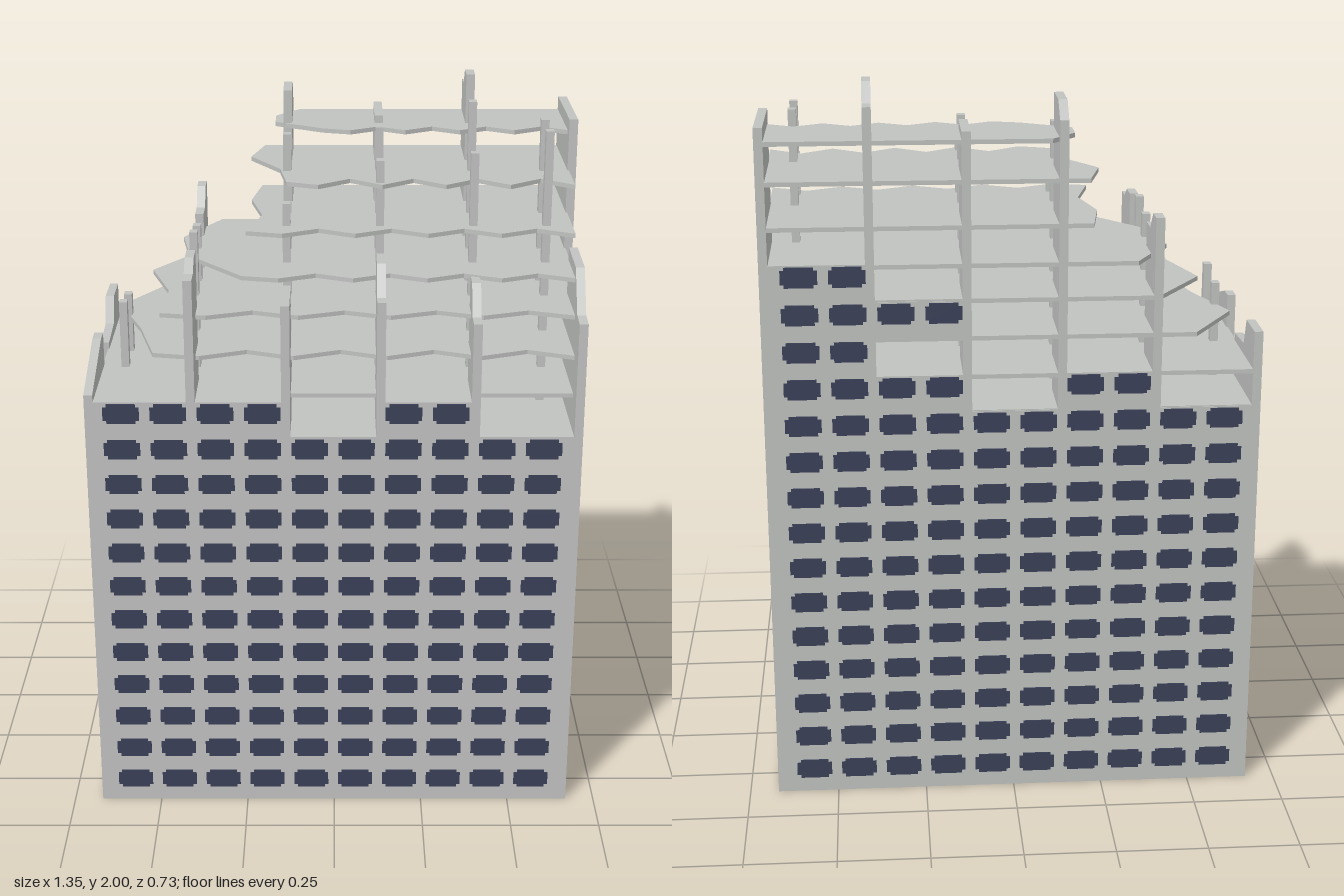
import * as THREE from 'three';
import { mergeGeometries } from 'three/addons/utils/BufferGeometryUtils.js';

const concrete = new THREE.MeshStandardMaterial({ color: 0xc0c2c0 });
concrete.name = 'concrete';
const glass = new THREE.MeshStandardMaterial({ color: 0x3a4058 });
glass.name = 'windowBlue';

const W = 0.67, D = 0.36, STOREY = 0.1025, WALL = 0.012, END = 0.024;
const BAYS = [-0.65, -0.385, -0.13, 0.125, 0.38, 0.65];
const BASE = 1.12;

const extrude = (pts, depth) => new THREE.ExtrudeGeometry(
  new THREE.Shape(pts.map(p => new THREE.Vector2(p[0], p[1]))), { depth, bevelEnabled: false });

function box(x0, x1, y0, y1, z0, z1) {
  return new THREE.BoxGeometry(x1 - x0, y1 - y0, z1 - z0)
    .translate((x0 + x1) / 2, (y0 + y1) / 2, (z0 + z1) / 2);
}

// Upright wall across x, outlined by [z, y] points
function crossWall(x, pts) {
  return extrude(pts, END).rotateY(-Math.PI / 2).translate(x + END / 2, 0, 0);
}

// Partition on side s: outer height, inner height, and the z where it breaks
function partition(x, s, [outer, inner, zBreak]) {
  return crossWall(x, [[s * 0.18, BASE], [s * D, BASE], [s * D, outer],
    [s * zBreak, outer], [s * (zBreak - 0.05), inner], [s * 0.18, inner]]);
}

// Window plate with notched corners, proud of both wall faces
function windowPlate(t) {
  const outline = [];
  for (const [sx, sy] of [[1, 1], [-1, 1], [-1, -1], [1, -1]]) {
    const corner = [[0.049 * sx, 0.019 * sy], [0.039 * sx, 0.019 * sy], [0.039 * sx, 0.028 * sy]];
    outline.push(...(sx * sy > 0 ? corner : corner.reverse()));
  }
  return extrude(outline, t).translate(0, 0, -t / 2);
}

// Slab with a ragged left edge (four x values, back to front) and a zigzag front edge
function brokenSlab(y, leftXs, zFront, ragged) {
  const back = -0.358, right = 0.65, steps = 9;
  const pts = [[right, back]];
  leftXs.forEach((x, i) => pts.push([x, back + (zFront - back) * i / 3]));
  const start = leftXs[3];
  for (let i = 1; i <= steps; i++)
    pts.push([start + (right - start) * i / steps, zFront + (i % 2 ? ragged : -ragged)]);
  return extrude(pts, 0.012).rotateX(Math.PI / 2).translate(0, y, 0);
}

export function createModel() {
  const group = new THREE.Group();
  const add = (name, geos, mat) => {
    const mesh = new THREE.Mesh(mergeGeometries(geos), mat);
    mesh.name = name;
    group.add(mesh);
  };

  // Long walls: eleven whole storeys, then the panels still standing in each bay
  const standing = {
    front: [[11], [11], [], [11], []],
    back: [[], [11], [], [11, 13], [11, 12, 13, 14]],
  };
  for (const side of ['front', 'back']) {
    const z = (side === 'front' ? 1 : -1) * (D - WALL / 2);
    const z0 = z - WALL / 2, z1 = z + WALL / 2;
    const walls = [box(-W + END / 2, W - END / 2, 0, 11 * STOREY, z0, z1)];
    const panes = [];
    standing[side].forEach((panels, bay) => {
      for (const r of panels)
        walls.push(box(BAYS[bay], BAYS[bay + 1], r * STOREY, (r + 1) * STOREY, z0, z1));
      for (const r of [...Array(11).keys(), ...panels])
        for (const i of [2 * bay, 2 * bay + 1])
          panes.push(windowPlate(WALL + 0.005)
            .translate(-0.003 + 0.1265 * (i - 4.5), 0.07 + r * STOREY, z));
    });
    add(side + 'Wall', walls, concrete);
    add(side + 'Windows', panes, glass);
  }

  // Broken end walls, each with a window strip down the middle
  const endX = W - END / 2;
  add('leftEndWall', [crossWall(endX, [[-D, 0], [D, 0], [D, 1.45], [0.3, 1.455],
    [0.225, 1.565], [0.055, 1.57], [0.055, 1.44], [-0.06, 1.44], [-0.06, 1.9], [-D, 1.9]])], concrete);
  add('rightEndWall', [crossWall(-endX, [[-D, 0], [D, 0], [D, 1.25], [0.11, 1.325],
    [0.06, 1.325], [0.06, 1.13], [-0.07, 1.13], [-0.07, 1.25], [-0.21, 1.26],
    [-0.24, 1.335], [-D, 1.335]])], concrete);
  for (const [name, x, rows] of [['leftEndWindows', endX, 14], ['rightEndWindows', -endX, 11]])
    add(name, [...Array(rows).keys()].map(r => windowPlate(END + 0.005)
      .rotateY(Math.PI / 2).translate(x, 0.07 + r * STOREY, 0.004)), glass);

  // Partitions between bays
  const frontParts = [[1.57, 1.6, 0.3], [1.5, 1.5, 0.3], [1.51, 1.59, 0.32], [1.45, 1.53, 0.3]];
  const backParts = [[1.65, 1.6, 0.3], [1.91, 1.955, 0.35], [1.885, 1.885, 0.3], [1.95, 2, 0.3]];
  add('frontPartitions', frontParts.map((p, i) => partition(BAYS[i + 1], 1, p)), concrete);
  add('backPartitions', backParts.map((p, i) => partition(BAYS[i + 1], -1, p)), concrete);

  // Two rows of columns: x, front top, back top
  const columns = [[-0.585, 1.42, 1.4], [-0.385, 1.62, 1.6], [-0.13, 1.7, 1.86],
    [0.125, 1.82, 1.88], [0.38, 1.84, 1.95], [0.58, 1.9, 1.9]];
  add('columns', columns.flatMap(([x, front, back]) => [[0.065, front], [-0.07, back]].map(
    ([z, top]) => box(x - 0.011, x + 0.011, BASE, top, z - 0.015, z + 0.015))), concrete);

  // Lowest decks: one whole, one set back where the front panel is gone
  add('lowerDecks', [
    box(-0.65, 0.65, 1.118, 1.13, -0.358, 0.358),
    ...standing.front.map((panels, bay) => box(BAYS[bay], BAYS[bay + 1], 1.218, 1.23,
      -0.358, panels.length ? 0.358 : 0.29)),
  ], concrete);

  // Broken slabs, each smaller than the one below
  add('brokenSlabs', [
    brokenSlab(1.337, [-0.49, -0.615, -0.54, -0.49], 0.265, 0.025),
    brokenSlab(1.44, [-0.39, -0.52, -0.46, -0.47], 0.235, 0.022),
    brokenSlab(1.535, [-0.33, -0.43, -0.4, -0.25], 0.205, 0.022),
    brokenSlab(1.638, [-0.21, -0.235, -0.2, -0.24], 0.13, 0.025),
    brokenSlab(1.758, [-0.2, -0.235, -0.15, -0.13], 0.065, 0.033),
    brokenSlab(1.863, [-0.1, -0.165, -0.165, -0.03], -0.115, 0.022),
  ], concrete);

  return group;
}
